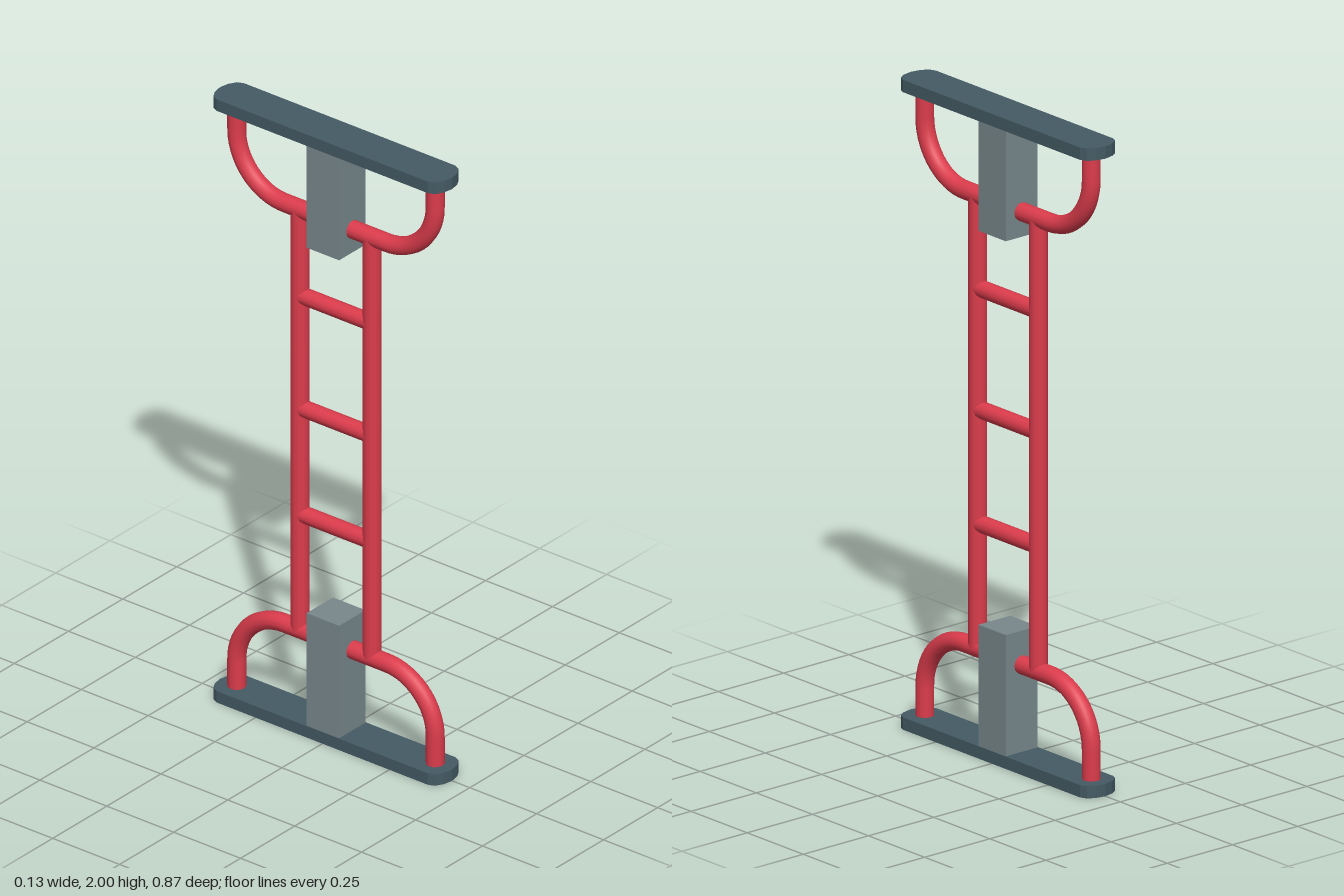
import * as THREE from 'three';

export function createModel() {
  const model = new THREE.Group();
  model.name = 'ladderFrame';
  const mat = (name, color) => new THREE.MeshStandardMaterial({ name, color });
  const red = mat('red tube', 0xdc3c4c);
  const slate = mat('dark slate plate', 0x455a64);
  const grey = mat('grey block', 0x78888c);
  const R = 0.028;

  const add = (parent, name, geometry, material, x = 0, y = 0, z = 0) => {
    const mesh = new THREE.Mesh(geometry, material);
    mesh.name = name;
    mesh.position.set(x, y, z);
    parent.add(mesh);
    return mesh;
  };

  // Plate outline with faceted rounded ends, extruded upward
  const plateGeometry = () => {
    const end = [[0.063, 0.395], [0.054, 0.415], [0.031, 0.428], [0, 0.434],
      [-0.031, 0.428], [-0.054, 0.415], [-0.063, 0.395]];
    const outline = [...end, ...end.map(([x, z]) => [-x, -z])];
    const shape = new THREE.Shape(outline.map(([x, z]) => new THREE.Vector2(x, z)));
    return new THREE.ExtrudeGeometry(shape, { depth: 0.038, bevelEnabled: false }).rotateX(-Math.PI / 2);
  };

  // Arched tube: two posts joined by a crossbar through rounded corners
  const archGeometry = (top) => {
    const w = 0.371, b = 0.18, k = b * 0.45;
    const p = (z, y) => new THREE.Vector3(0, y, z);
    const path = new THREE.CurvePath();
    path.add(new THREE.LineCurve3(p(w, 0.03), p(w, top - b)));
    path.add(new THREE.CubicBezierCurve3(p(w, top - b), p(w, top - k), p(w - k, top), p(w - b, top)));
    path.add(new THREE.LineCurve3(p(w - b, top), p(b - w, top)));
    path.add(new THREE.CubicBezierCurve3(p(b - w, top), p(k - w, top), p(-w, top - k), p(-w, top - b)));
    path.add(new THREE.LineCurve3(p(-w, top - b), p(-w, 0.03)));
    return new THREE.TubeGeometry(path, 60, R, 12);
  };

  // One end assembly: plate, block and arch
  const endAssembly = (name, blockTop, archTop) => {
    const group = new THREE.Group();
    group.name = name;
    add(group, 'plate', plateGeometry(), slate);
    const h = blockTop - 0.03;
    add(group, 'block', new THREE.BoxGeometry(0.122, h, 0.122), grey, 0, 0.03 + h / 2);
    add(group, 'arch', archGeometry(archTop), red);
    model.add(group);
    return group;
  };
  endAssembly('base', 0.411, 0.307);
  const head = endAssembly('head', 0.377, 0.299);
  head.rotation.x = Math.PI;
  head.position.y = 2;

  // Upright rails
  for (const side of [-1, 1]) {
    add(model, 'rail', new THREE.CylinderGeometry(R, R, 1.394, 12), red, 0, 1.004, side * 0.135);
  }

  // Rungs
  for (const y of [0.692, 1.043, 1.416]) {
    add(model, 'rung', new THREE.CylinderGeometry(0.026, 0.026, 0.27, 12), red, 0, y, 0).rotation.x = Math.PI / 2;
  }
  return model;
}
